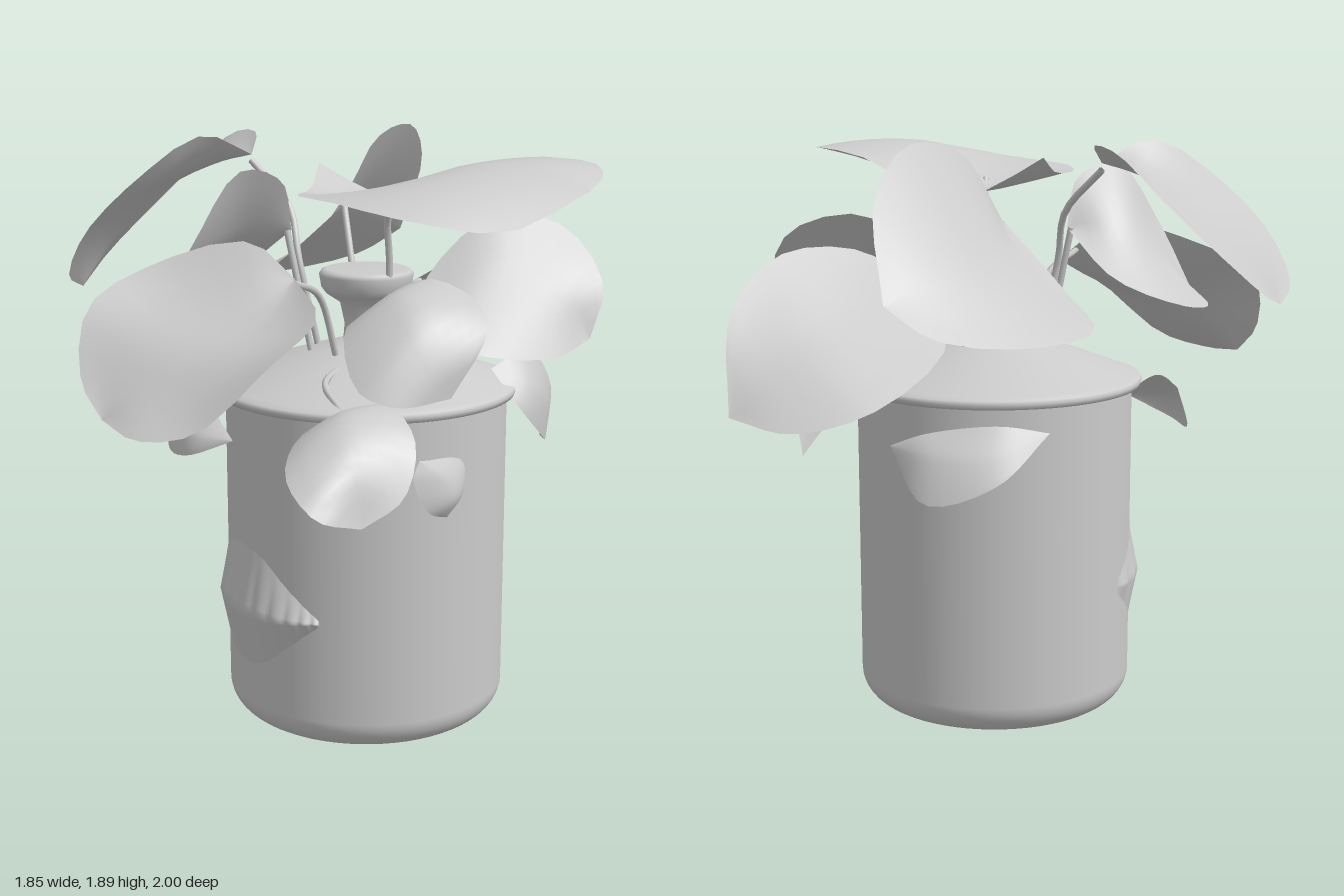
import * as THREE from 'three';

const material = new THREE.MeshStandardMaterial({ color: 0xcccccc, roughness: 0.8, side: THREE.DoubleSide });
const CX = 0.07, CZ = 0.025, R = 0.457;

const vec = (p) => new THREE.Vector3(...p);
const curve = (pts) => new THREE.CatmullRomCurve3(pts.map(vec));

function mesh(name, geometry) {
  const m = new THREE.Mesh(geometry, material);
  m.name = name;
  return m;
}

// Rectangular grid of points given by a rule of (u, v)
function grid(nu, nv, rule) {
  const pos = [], idx = [];
  for (let i = 0; i <= nu; i++)
    for (let j = 0; j <= nv; j++) pos.push(...rule(i / nu, j / nv).toArray());
  for (let i = 0; i < nu; i++)
    for (let j = 0; j < nv; j++) {
      const a = i * (nv + 1) + j, b = a + nv + 1;
      idx.push(a, b, a + 1, b, b + 1, a + 1);
    }
  const g = new THREE.BufferGeometry();
  g.setAttribute('position', new THREE.Float32BufferAttribute(pos, 3));
  g.setIndex(idx);
  g.computeVertexNormals();
  return g;
}

// Leaf blade lofted between two edges through a midrib, from base to tip
function leaf(name, base, tip, edgeA, mid, edgeB) {
  const [a, m, b] = [edgeA, mid, edgeB].map((c) => curve([base, ...c, tip]));
  const geo = grid(14, 10, (u, v) => {
    const A = a.getPoint(u), M = m.getPoint(u), B = b.getPoint(u);
    const [from, to, t] = v < 0.5 ? [A, M, v * 2] : [M, B, v * 2 - 1];
    const straight = from.clone().lerp(to, t);
    const wA = 2 * (v - 0.5) * (v - 1), wM = 4 * v * (1 - v), wB = 2 * v * (v - 0.5);
    const bowed = A.multiplyScalar(wA).addScaledVector(M, wM).addScaledVector(B, wB);
    return straight.lerp(bowed, 0.6);
  });
  // Keep the upper side as the front so it shades evenly
  const n = geo.attributes.normal;
  let up = 0;
  for (let i = 0; i < n.count; i++) up += n.getY(i);
  if (up < 0) {
    geo.setIndex(Array.from(geo.index.array).reverse());
    geo.computeVertexNormals();
  }
  return mesh(name, geo);
}

const stem = (...pts) => mesh('stem', new THREE.TubeGeometry(curve(pts), 16, 0.011, 6));

function lathe(name, pts) {
  const m = mesh(name, new THREE.LatheGeometry(pts.map((p) => new THREE.Vector2(...p)), 64));
  m.position.set(CX, 0, CZ);
  return m;
}

function createPot() {
  const pot = new THREE.Group();
  pot.name = 'pot';
  // Jar with a rounded foot
  const foot = [[0, 0]];
  for (let i = 0; i <= 10; i++) {
    const t = (i / 10) * Math.PI / 2;
    foot.push([R - 0.1 + 0.1 * Math.sin(t), 0.1 - 0.1 * Math.cos(t)]);
  }
  pot.add(lathe('jar', [...foot, [R, 0.6], [R, 1.09]]));
  // Shallow conical lid with a thin rim
  pot.add(lathe('lid', [[0.43, 1.075], [0.485, 1.085], [0.49, 1.1], [0.485, 1.112],
    [0.46, 1.12], [0.3, 1.18], [0.14, 1.23], [0.07, 1.25]]));
  // Flat round knob on a neck
  pot.add(lathe('lidKnob', [[0.075, 1.24], [0.07, 1.3], [0.085, 1.37], [0.13, 1.4], [0.145, 1.42],
    [0.152, 1.46], [0.145, 1.472], [0.13, 1.478], [0, 1.48]]));
  // Ribbed spindle raised from the front of the jar
  const outline = new THREE.SplineCurve([[-0.375, 0.03], [-0.3, 0.13], [-0.2, 0.185], [-0.1, 0.2],
    [0, 0.175], [0.1, 0.1], [0.17, 0.045], [0.215, 0.01]].map((p) => new THREE.Vector2(...p)));
  pot.add(mesh('ribbedRelief', grid(80, 16, (u, v) => {
    const { x, y: half } = outline.getPoint(u), s = v * 2 - 1;
    const rib = 0.008 * Math.abs(Math.sin(u * Math.PI * 11));
    const lift = (1 - Math.abs(s)) * (0.04 * Math.sin(Math.PI * u) + rib) - 0.001;
    const angle = Math.asin((x - CX) / (R + 0.015));
    const r = R + lift;
    return new THREE.Vector3(CX + r * Math.sin(angle), 0.43 + half * s, CZ + r * Math.cos(angle));
  })));
  return pot;
}

function createLeaves() {
  const leaves = new THREE.Group();
  leaves.name = 'leaves';
  leaves.add(
    // Tall leaves
    leaf('topLeftLeaf', [0.0, 1.82, 0.18], [0.92, 1.79, 0.12],
      [[0.12, 1.71, 0.0], [0.24, 1.72, -0.12], [0.42, 1.82, -0.24], [0.74, 1.84, -0.19], [0.88, 1.82, -0.03]],
      [[0.18, 1.71, 0.17], [0.36, 1.78, 0.2], [0.56, 1.85, 0.2], [0.76, 1.85, 0.15]],
      [[0.08, 1.76, 0.32], [0.15, 1.76, 0.48], [0.4, 1.77, 0.63], [0.65, 1.74, 0.63], [0.83, 1.7, 0.42]]),
    leaf('outerRightLeaf', [-0.34, 1.82, 0.1], [-0.78, 1.39, 0.45],
      [[-0.42, 1.88, -0.02], [-0.6, 1.86, -0.1], [-0.8, 1.72, -0.1], [-0.93, 1.48, 0.14]],
      [[-0.45, 1.79, 0.14], [-0.6, 1.7, 0.25], [-0.73, 1.53, 0.36]],
      [[-0.39, 1.89, 0.28], [-0.48, 1.76, 0.5], [-0.63, 1.59, 0.58], [-0.74, 1.44, 0.55]]),
    leaf('innerRightLeaf', [-0.12, 1.6, 0.17], [-0.34, 1.4, 0.53],
      [[-0.1, 1.76, 0.24], [-0.15, 1.8, 0.38], [-0.23, 1.6, 0.5]],
      [[-0.24, 1.58, 0.28], [-0.29, 1.52, 0.42]],
      [[-0.34, 1.45, 0.17], [-0.47, 1.36, 0.36], [-0.45, 1.35, 0.5]]),
    leaf('backRightLeaf', [-0.14, 1.65, -0.14], [-0.4, 1.47, -0.83],
      [[-0.12, 1.85, -0.28], [-0.13, 1.89, -0.5], [-0.23, 1.74, -0.72]],
      [[-0.3, 1.56, -0.25], [-0.37, 1.55, -0.45], [-0.4, 1.52, -0.65]],
      [[-0.4, 1.43, -0.1], [-0.62, 1.36, -0.22], [-0.63, 1.34, -0.48], [-0.52, 1.38, -0.75]]),
    // Broad drooping leaves at the back, front and left
    leaf('backLeaf', [0.05, 1.4, -0.3], [0.12, 1.1, -1.0],
      [[-0.12, 1.28, -0.35], [-0.22, 1.13, -0.72], [-0.08, 1.07, -0.92]],
      [[0.08, 1.37, -0.5], [0.08, 1.31, -0.72], [0.1, 1.2, -0.9]],
      [[0.27, 1.53, -0.36], [0.33, 1.54, -0.64], [0.27, 1.38, -0.88]]),
    leaf('frontLeaf', [0.1, 1.5, 0.43], [-0.22, 1.12, 0.94],
      [[-0.06, 1.6, 0.45], [-0.3, 1.53, 0.62], [-0.38, 1.42, 0.82], [-0.32, 1.22, 0.92]],
      [[0.08, 1.39, 0.58], [-0.05, 1.3, 0.75], [-0.16, 1.2, 0.87]],
      [[0.3, 1.42, 0.58], [0.29, 1.32, 0.78], [0.16, 1.14, 0.95], [-0.02, 1.1, 1.0]]),
    leaf('frontLeftLeaf', [0.3, 1.4, 0.3], [0.66, 1.21, 0.42],
      [[0.34, 1.38, 0.5], [0.48, 1.24, 0.62], [0.58, 1.2, 0.57]],
      [[0.42, 1.48, 0.38], [0.56, 1.42, 0.44], [0.64, 1.3, 0.44]],
      [[0.44, 1.51, 0.24], [0.62, 1.46, 0.23], [0.7, 1.38, 0.3]]),
    leaf('backLeftLeaf', [0.28, 1.36, 0.08], [0.68, 1.26, -0.35],
      [[0.26, 1.5, -0.1], [0.36, 1.64, -0.3], [0.52, 1.59, -0.46], [0.68, 1.42, -0.43]],
      [[0.4, 1.42, -0.03], [0.52, 1.43, -0.18], [0.62, 1.38, -0.3]],
      [[0.4, 1.31, 0.17], [0.56, 1.26, 0.08], [0.67, 1.23, -0.15]]),
    // Small leaves hanging over the rim
    leaf('lowFrontLeftLeaf', [0.27, 1.11, 0.42], [0.55, 0.87, 0.7],
      [[0.44, 1.16, 0.42], [0.58, 1.08, 0.48], [0.61, 0.94, 0.58]],
      [[0.38, 1.15, 0.56], [0.5, 1.05, 0.67]],
      [[0.26, 1.07, 0.62], [0.36, 1.0, 0.8], [0.5, 0.92, 0.84]]),
    leaf('lowLeftLeaf', [0.54, 1.0, 0.4], [0.56, 0.8, 0.28],
      [[0.54, 0.95, 0.43], [0.56, 0.84, 0.38]],
      [[0.58, 0.93, 0.31], [0.59, 0.86, 0.29]],
      [[0.55, 0.95, 0.18], [0.57, 0.86, 0.21]]),
    leaf('lowFrontRightLeaf', [-0.07, 0.99, 0.53], [-0.41, 1.08, 0.4],
      [[-0.2, 1.07, 0.48], [-0.35, 1.11, 0.4]],
      [[-0.2, 1.0, 0.56], [-0.33, 1.02, 0.5]],
      [[-0.22, 0.93, 0.58], [-0.37, 0.93, 0.5]]),
    leaf('lowBackLeftLeaf', [0.45, 1.17, -0.13], [0.4, 0.86, -0.53],
      [[0.48, 1.21, -0.3], [0.46, 1.03, -0.5]],
      [[0.54, 1.1, -0.25], [0.5, 0.98, -0.42]],
      [[0.55, 1.04, -0.16], [0.52, 0.9, -0.36]]),
    leaf('lowBackRightLeaf', [-0.36, 1.0, -0.14], [0.02, 0.95, -0.47],
      [[-0.28, 1.03, -0.28], [-0.1, 1.0, -0.42]],
      [[-0.31, 0.95, -0.32], [-0.15, 0.94, -0.46]],
      [[-0.34, 0.86, -0.35], [-0.18, 0.8, -0.5]]),
  );
  return leaves;
}

function createStems() {
  const stems = new THREE.Group();
  stems.name = 'stems';
  stems.add(
    stem([0.18, 1.2, 0.08], [0.2, 1.5, 0.08], [0.22, 1.65, 0.12], [0.28, 1.74, 0.18]),
    stem([-0.08, 1.2, 0.08], [-0.13, 1.5, 0.12], [-0.2, 1.66, 0.08], [-0.35, 1.8, 0.09]),
    stem([-0.05, 1.18, 0.15], [-0.1, 1.45, 0.17], [-0.13, 1.6, 0.18]),
    stem([-0.03, 1.2, -0.08], [-0.08, 1.45, -0.1], [-0.15, 1.64, -0.15]),
    stem([0.05, 1.2, -0.12], [0.03, 1.34, -0.18], [0.05, 1.39, -0.31]),
    stem([0.07, 1.2, 0.18], [0.07, 1.42, 0.27], [0.1, 1.49, 0.44]),
    stem([0.17, 1.2, 0], [0.21, 1.32, 0.04], [0.29, 1.36, 0.07]),
    stem([0.16, 1.2, 0.14], [0.2, 1.34, 0.2], [0.31, 1.4, 0.31]),
    stem([0.12, 1.2, 0.2], [0.16, 1.17, 0.36], [0.28, 1.11, 0.43]),
  );
  return stems;
}

export function createModel() {
  const model = new THREE.Group();
  model.name = 'pottedPlant';
  model.add(createPot(), createStems(), createLeaves());
  return model;
}
